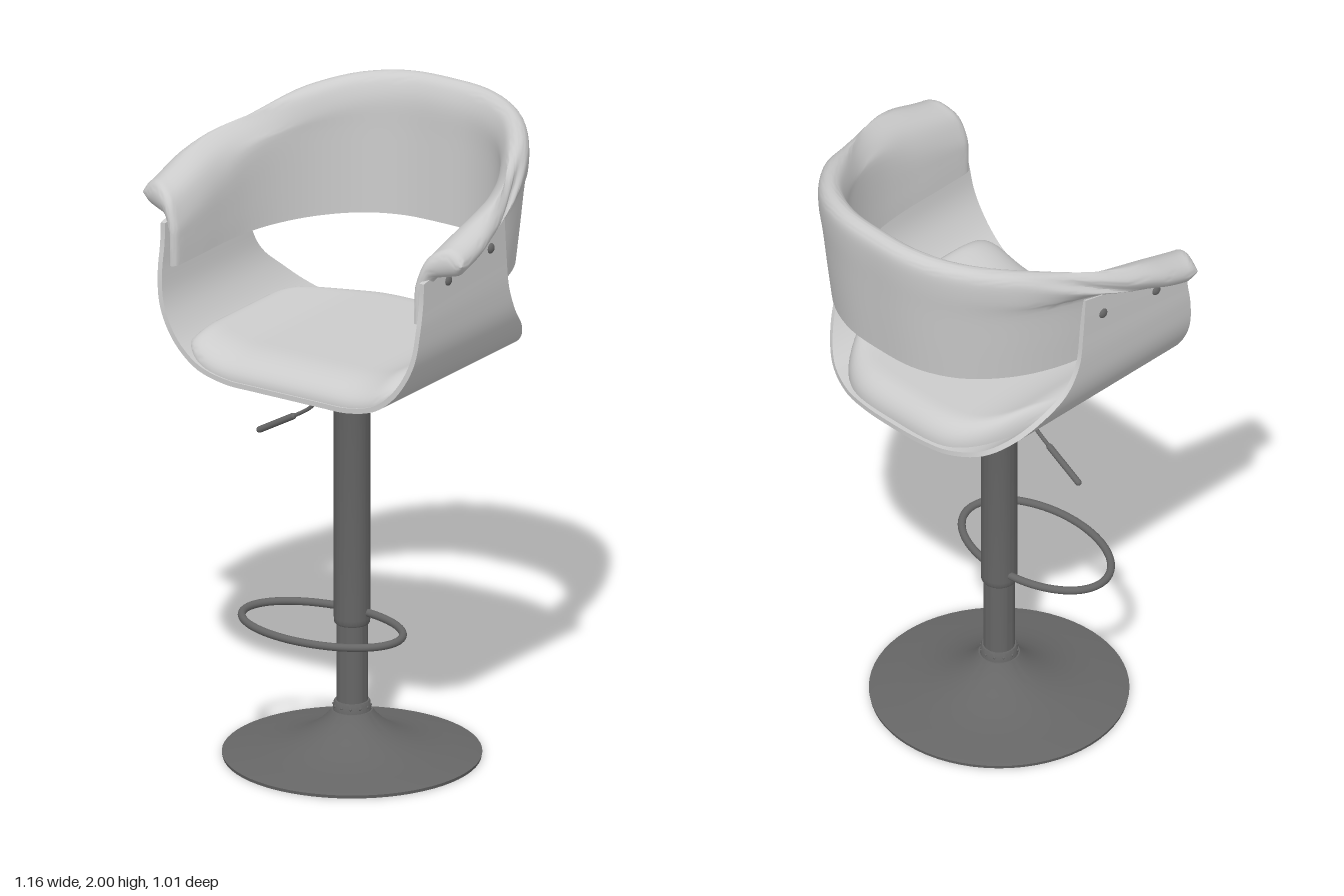
import * as THREE from 'three';
import { toCreasedNormals } from 'three/addons/utils/BufferGeometryUtils.js';

const { lerp, smoothstep, clamp } = THREE.MathUtils;
const V = (x, y, z) => new THREE.Vector3(x, y, z);
const grey = new THREE.MeshStandardMaterial({ color: 0xcccccc, side: THREE.DoubleSide });
const dark = new THREE.MeshStandardMaterial({ color: 0x666666, side: THREE.DoubleSide });

function part(name, geometry, material) {
  const mesh = new THREE.Mesh(geometry, material);
  mesh.name = name;
  return mesh;
}

// Skins a row of closed cross-sections and closes both ends.
function loft(sections, crease = 0.7) {
  const n = sections[0].length, last = (sections.length - 1) * n;
  const index = [];
  for (let i = 0; i < sections.length - 1; i++) {
    for (let j = 0; j < n; j++) {
      const a = i * n + j, b = i * n + (j + 1) % n;
      index.push(a, a + n, b + n, a, b + n, b);
    }
  }
  for (let j = 0; j < n / 2 - 1; j++) {
    const [a, b, c, d] = [j, j + 1, n - 2 - j, n - 1 - j];
    index.push(a, b, c, a, c, d);
    index.push(last + a, last + c, last + b, last + a, last + d, last + c);
  }
  const geo = new THREE.BufferGeometry().setFromPoints(sections.flat());
  geo.setIndex(index);
  return toCreasedNormals(geo, crease);
}

const mirrorRow = (half) => [...half.slice(1).reverse().map(([x, ...r]) => [-x, ...r]), ...half];

// Bent shell: a U profile whose rear edge sweeps forward as it climbs the sides.
function shellGeometry() {
  // x, y, z of rear edge
  const half = [[0, 1.235, -0.455], [0.12, 1.235, -0.45], [0.22, 1.237, -0.43], [0.32, 1.262, -0.385],
    [0.39, 1.315, -0.325], [0.44, 1.385, -0.255], [0.468, 1.46, -0.18], [0.477, 1.55, -0.135],
    [0.478, 1.66, -0.12], [0.478, 1.785, -0.11]];
  const curve = new THREE.CatmullRomCurve3(mirrorRow(half).map((p) => V(...p)));
  const sections = [];
  for (let i = 0; i <= 90; i++) {
    const p = curve.getPoint(i / 90), t = curve.getTangent(i / 90);
    const len = Math.hypot(t.x, t.y), nx = -t.y / len * 0.016, ny = t.x / len * 0.016;
    const front = 0.35 - 0.035 * smoothstep(p.y, 1.3, 1.8);
    const yf = p.y - 0.095 * smoothstep(p.y, 1.5, 1.785);
    sections.push([V(p.x, p.y, p.z), V(p.x, yf, front), V(p.x + nx, yf + ny, front), V(p.x + nx, p.y + ny, p.z)]);
  }
  return loft(sections, 0.6);
}

// Seat pad: follows the shell, domed with a soft front edge and rounded back.
function cushionGeometry() {
  const M = 36, sections = [];
  const edge = (d, r) => Math.sqrt(Math.max(0, 1 - (1 - Math.min(d / r, 1)) ** 2));
  for (let i = 0; i <= 48; i++) {
    const u = Math.sin((i / 48 - 0.5) * Math.PI), x = 0.385 * u, a = Math.abs(x);
    const base = 1.253 + 3.7 * Math.max(0, a - 0.18) ** 2.5;
    const rear = -0.44 + 0.3 * u ** 4, front = 0.345 - 0.05 * u ** 12;
    const top = [], bottom = [];
    for (let j = 0; j <= M; j++) {
      const z = lerp(front, rear, 0.5 - 0.5 * Math.cos(j / M * Math.PI));
      const h = 0.075 * edge(front - z, 0.14) * edge(z - rear, 0.08) * edge(0.385 - a, 0.07);
      top.push(V(x, base + h, z));
      bottom.unshift(V(x, base - 0.004, z));
    }
    sections.push([...top, ...bottom]);
  }
  return loft(sections, 0.9);
}

// Padded band: upright at the back, rolling outward into armrests.
function bandGeometry() {
  const half = [[0, 0, -0.46], [0.13, 0, -0.45], [0.24, 0, -0.4], [0.33, 0, -0.305], [0.39, 0, -0.19],
    [0.42, 0, -0.08], [0.43, 0, 0.03], [0.43, 0, 0.16], [0.43, 0, 0.28]];
  const path = new THREE.CatmullRomCurve3(mirrorRow(half).map((p) => V(...p)));
  const N = 72, E = 7, sections = [];
  for (let i = -E; i <= N + E; i++) {
    const u = clamp(i / N, 0, 1), over = i < 0 ? i / E : Math.max(0, (i - N) / E);
    const p = path.getPoint(u), t = path.getTangent(u);
    const w = smoothstep(p.z, -0.3, 0.06), tip = smoothstep(p.z, 0.02, 0.28);
    const T = 0.085 + 0.065 * smoothstep(p.z, -0.25, 0.2), H = Math.min(2, 1.873 - 0.276 * p.z);
    // offset outward and height, from inner bottom over the top to outer bottom
    const back = [[0, 1.555], [0, 1.68], [0, 1.82], [0, H - 0.08], [0.015, H - 0.025], [0.035, H - 0.003],
      [0.055, H], [0.075, H - 0.012], [0.085, H - 0.04], [0.083, H - 0.1], [0.072, 1.8], [0.058, 1.67], [0.045, 1.555]];
    const arm = [[0, 1.555], [0, 1.63], [0.005, H - 0.11], [0.035, H - 0.035], [0.09, H], [T - 0.015, H - 0.012],
      [T, H - 0.045], [T - 0.02, H - 0.08], [0.1, H - 0.09], [0.055, H - 0.1], [0.04, H - 0.14], [0.037, 1.63], [0.035, 1.555]];
    const outline = new THREE.SplineCurve(back.map((b, k) =>
      new THREE.Vector2(lerp(b[0], arm[k][0], w), lerp(b[1], arm[k][1], w)))).getPoints(48);
    // the ends close by pinching both faces to the middle
    const f = Math.cos(over * Math.PI / 2), push = 0.035 * Math.sin(over * Math.PI / 2);
    sections.push(outline.map((q, k) => {
      const o = outline[outline.length - 1 - k];
      const mid = q.clone().add(o).multiplyScalar(0.5).lerp(q, f);
      return V(p.x + t.z * mid.x + t.x * push, mid.y, p.z - t.x * mid.x + t.z * push - 0.35 * mid.x * tip);
    }));
  }
  return loft(sections, 0.8);
}

const lathe = (points) => toCreasedNormals(
  new THREE.LatheGeometry(points.map((p) => new THREE.Vector2(...p)), 64), 0.5);

export function createModel() {
  const root = new THREE.Group();
  root.name = 'barStool';
  const stool = new THREE.Group();
  stool.name = 'stool';
  stool.position.set(0.045, 0, 0.05);
  stool.rotation.y = -0.288;
  root.add(stool);

  // Seat
  stool.add(part('seatShell', shellGeometry(), grey));
  stool.add(part('seatCushion', cushionGeometry(), grey));
  stool.add(part('backrestBand', bandGeometry(), grey));

  // Bolts on the side plates and under the seat
  const bolt = new THREE.SphereGeometry(0.016, 16, 10);
  for (const s of [-1, 1]) {
    for (const [y, z] of [[1.665, 0.187], [1.7, -0.037]]) {
      const b = part('sideBolt', bolt, dark);
      b.position.set(s * 0.478, y, z);
      b.scale.x = 0.6;
      stool.add(b);
    }
    for (const z of [0.29, -0.27]) {
      const b = part('underBolt', bolt, dark);
      b.position.set(s * 0.27, 1.244, z);
      b.scale.y = 0.6;
      stool.add(b);
    }
  }

  // Trumpet base
  stool.add(part('base', lathe([[0, 0], [0.388, 0], [0.39, 0.01], [0.37, 0.015], [0.3, 0.025], [0.235, 0.037],
    [0.18, 0.055], [0.135, 0.078], [0.1, 0.103], [0.075, 0.127], [0.062, 0.145], [0, 0.145]]), dark));
  stool.add(part('baseCollar', lathe([[0.058, 0.14], [0.055, 0.17], [0.052, 0.175], [0, 0.175]]), dark));
  for (let i = 0; i < 12; i++) {
    const a = i / 12 * Math.PI * 2, b = part('collarStud', new THREE.SphereGeometry(0.004, 8, 6), dark);
    b.position.set(Math.cos(a) * 0.056, 0.16, Math.sin(a) * 0.056);
    stool.add(b);
  }

  // Telescopic column with a flared mount
  stool.add(part('lowerColumn', lathe([[0.047, 0.15], [0.047, 0.43]]), dark));
  stool.add(part('upperColumn', lathe([[0, 0.42], [0.051, 0.42], [0.054, 0.425], [0.055, 0.44], [0.055, 1.165],
    [0.06, 1.185], [0.072, 1.205], [0.088, 1.222], [0.095, 1.228], [0.095, 1.237], [0, 1.237]]), dark));

  // Oval footrest
  const oval = [];
  for (let i = 0; i < 32; i++) {
    const a = i / 32 * Math.PI * 2;
    oval.push(V(0.27 * Math.cos(a), 0.46, 0.157 + 0.165 * Math.sin(a)));
  }
  stool.add(part('footrest', new THREE.TubeGeometry(new THREE.CatmullRomCurve3(oval, true), 96, 0.012, 12, true), dark));

  // Height lever with grip
  const rod = new THREE.CatmullRomCurve3([V(-0.04, 1.225, 0), V(-0.09, 1.205, 0), V(-0.115, 1.15, 0),
    V(-0.14, 1.085, 0), V(-0.2, 1.04, 0), V(-0.25, 1.012, 0)]);
  stool.add(part('leverRod', new THREE.TubeGeometry(rod, 40, 0.006, 10), dark));
  const grip = part('leverGrip', new THREE.CapsuleGeometry(0.01, 0.14, 4, 12), dark);
  grip.position.set(-0.275, 0.998, 0);
  grip.rotation.z = -Math.PI / 2 + 0.51;
  stool.add(grip);

  return root;
}
